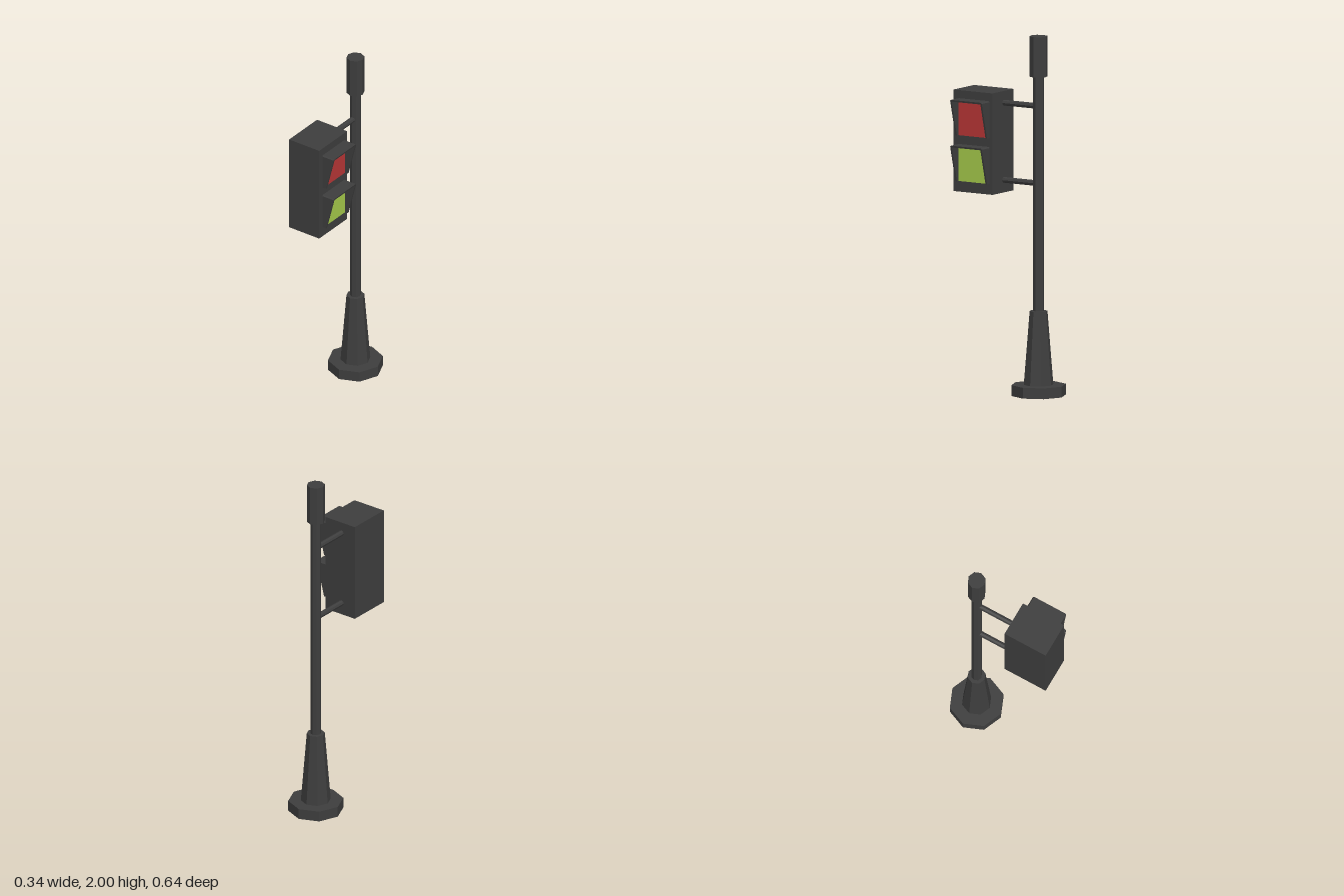
import * as THREE from 'three';

export function createModel() {
  const group = new THREE.Group();
  const metal = new THREE.MeshStandardMaterial({ color: 0x3e3e3e, flatShading: true });
  metal.name = 'dark metal';
  const red = new THREE.MeshStandardMaterial({ color: 0xb83636 });
  red.name = 'red lens';
  const green = new THREE.MeshStandardMaterial({ color: 0xa5c94a });
  green.name = 'green lens';

  const poleX = -0.02, poleZ = -0.17;
  const add = (name, geometry, material, x, y, z) => {
    const mesh = new THREE.Mesh(geometry, material);
    mesh.name = name;
    mesh.position.set(x, y, z);
    group.add(mesh);
    return mesh;
  };

  // Eight-sided upright sections, given by their bottom and top heights
  const column = (name, rTop, rBottom, y0, y1) =>
    add(name, new THREE.CylinderGeometry(rTop, rBottom, y1 - y0, 8), metal, poleX, (y0 + y1) / 2, poleZ);
  column('basePlate', 0.153, 0.153, 0, 0.06);
  column('poleFoot', 0.05, 0.083, 0.06, 0.47);
  column('pole', 0.03, 0.03, 0.47, 1.775);
  column('poleCap', 0.05, 0.05, 1.775, 2);

  // Signal housing and the two arms holding it
  add('housing', new THREE.BoxGeometry(0.205, 0.565, 0.26), metal, -0.0105, 1.3925, 0.19);
  for (const y of [1.61, 1.18]) {
    const arm = add('arm', new THREE.CylinderGeometry(0.016, 0.016, 0.24, 8), metal, poleX, y, -0.05);
    arm.rotation.x = Math.PI / 2;
  }

  // Hood: an upside-down U with chamfered top corners, its front edge sloping back downwards
  const w = 0.105, h = 0.205, t = 0.01, c = 0.006;
  const hoodShape = new THREE.Shape([
    [-w, 0], [-w + t, 0], [-w + t, h - t], [w - t, h - t], [w - t, 0],
    [w, 0], [w, h - c], [w - c, h], [-w + c, h], [-w, h - c],
  ].map(([x, y]) => new THREE.Vector2(x, y)));
  const hoodGeometry = new THREE.ExtrudeGeometry(hoodShape, { depth: 1, bevelEnabled: false });
  hoodGeometry.rotateY(Math.PI / 2);
  const p = hoodGeometry.attributes.position;
  for (let i = 0; i < p.count; i++) {
    p.setX(i, p.getX(i) * (0.025 + 0.053 * p.getY(i) / h));
  }
  hoodGeometry.computeVertexNormals();

  for (const [name, lens, y] of [['red', red, 1.425], ['green', green, 1.17]]) {
    add(name + 'Hood', hoodGeometry, metal, 0.092, y, 0.185);
    add(name + 'Lens', new THREE.BoxGeometry(0.008, h - t, 2 * (w - t)), lens, 0.096, y + (h - t) / 2, 0.185);
  }
  return group;
}
